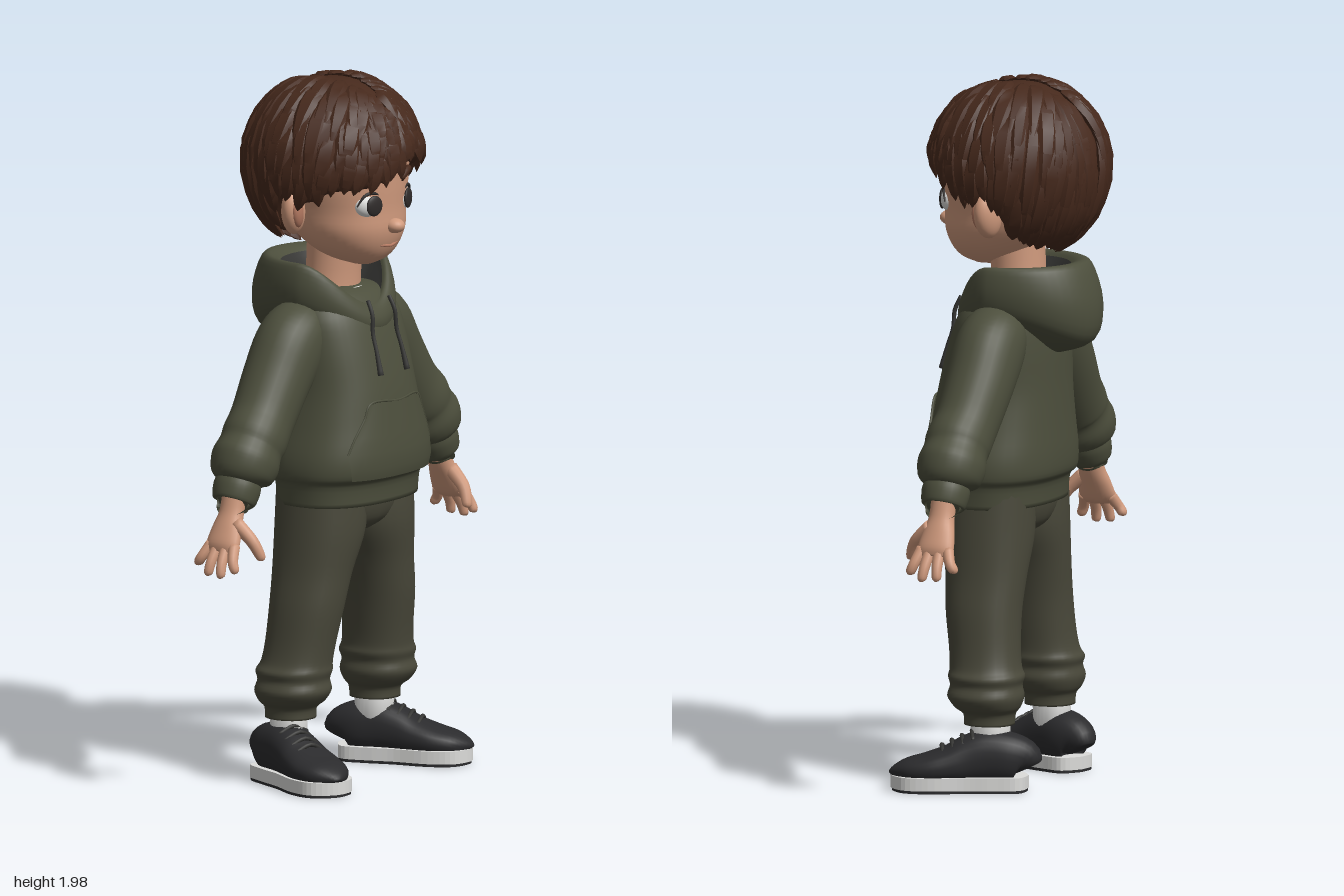
import * as THREE from 'three';
import { mergeGeometries, toCreasedNormals } from 'three/addons/utils/BufferGeometryUtils.js';

const V = (x, y, z) => new THREE.Vector3(x, y, z);
const mat = (name, color, side = THREE.FrontSide) => {
  const m = new THREE.MeshStandardMaterial({ color, side });
  m.name = name;
  return m;
};

// Rings of points joined into a closed-round surface
function skin(rings, capped = true) {
  const n = rings[0].length, pos = [], idx = [];
  rings.forEach(r => r.forEach(p => pos.push(p.x, p.y, p.z)));
  for (let i = 0; i < rings.length - 1; i++) for (let j = 0; j < n; j++) {
    const a = i * n + j, b = i * n + (j + 1) % n;
    idx.push(a, a + n, b, b, a + n, b + n);
  }
  if (capped) [0, rings.length - 1].forEach((k, end) => {
    const c = rings[k].reduce((s, p) => s.add(p), V(0, 0, 0)).divideScalar(n), ci = pos.length / 3;
    pos.push(c.x, c.y, c.z);
    for (let j = 0; j < n; j++) {
      const a = k * n + j, b = k * n + (j + 1) % n;
      if (end) idx.push(ci, b, a); else idx.push(ci, a, b);
    }
  });
  const g = new THREE.BufferGeometry();
  g.setAttribute('position', new THREE.Float32BufferAttribute(pos, 3));
  g.setIndex(idx);
  g.computeVertexNormals();
  return g;
}

// Catmull-Rom resampling of every column of a table
function smooth(rows, n = 4) {
  const out = [], at = i => rows[Math.max(0, Math.min(rows.length - 1, i))];
  for (let i = 0; i < rows.length - 1; i++) for (let k = 0; k < n; k++) {
    const t = k / n;
    out.push(rows[i].map((b, c) => {
      const a = at(i - 1)[c], d = at(i + 1)[c], e = at(i + 2)[c];
      return b + 0.5 * t * (d - a + t * (2 * a - 5 * b + 4 * d - e + t * (3 * (b - d) + e - a)));
    }));
  }
  out.push(rows[rows.length - 1]);
  return out;
}

// Rows [x, y, z, ra, rb] become rounded sections, level or square to the path
function loft(rows, { flat = false, p = 2, sides = 28, ref = () => V(0, 0, 1) } = {}) {
  const c = rows.map(r => V(r[0], r[1], r[2]));
  return skin(rows.map((r, i) => {
    const T = c[Math.min(i + 1, c.length - 1)].clone().sub(c[Math.max(i - 1, 0)]).normalize();
    const A = flat ? V(Math.sign(T.y), 0, 0) : T.clone().cross(ref(i)).normalize();
    const B = flat ? V(0, 0, 1) : A.clone().cross(T);
    const f = v => Math.sign(v) * Math.pow(Math.abs(v), 2 / p);
    return Array.from({ length: sides }, (_, j) => {
      const t = j / sides * Math.PI * 2;
      return c[i].clone().addScaledVector(A, f(Math.cos(t)) * r[3]).addScaledVector(B, f(Math.sin(t)) * r[4]);
    });
  }));
}
const rod = (pts, r, sides = 10) => loft(smooth(pts.map((q, i) => [...q, r[i] ?? r[0], r[i] ?? r[0]])), { sides });

// Front surface depth of a level loft
const frontZ = (rows, p) => (x, y) => {
  let i = 0;
  while (i < rows.length - 2 && rows[i + 1][1] < y) i++;
  const t = (y - rows[i][1]) / (rows[i + 1][1] - rows[i][1]);
  const [, , cz, rx, rz] = rows[i].map((v, k) => v + (rows[i + 1][k] - v) * t);
  return cz + rz * Math.pow(Math.max(0, 1 - Math.pow(Math.abs(x) / rx, p)), 1 / p);
};

export function createModel() {
  const root = new THREE.Group();
  const M = {
    hoodie: mat('olive hoodie', 0x4c4e3c, THREE.DoubleSide), pants: mat('olive trousers', 0x49483a),
    hair: mat('brown hair', 0x46291c, THREE.DoubleSide), skin: mat('skin', 0xd09a7d),
    lip: mat('rosy skin', 0xb57a62), shoe: mat('black shoe', 0x2b2b2d), white: mat('white', 0xdcdcda),
    dark: mat('dark lining', 0x353533, THREE.DoubleSide), iris: mat('dark eye', 0x2f2b2a),
  };
  const add = (name, geo, m, parent = root) => {
    const mesh = new THREE.Mesh(geo, m);
    mesh.name = name;
    parent.add(mesh);
    return mesh;
  };
  const ball = (name, pos, scale, m, parent = root) => {
    const b = add(name, new THREE.SphereGeometry(1, 24, 16), m, parent);
    b.position.set(...pos);
    b.scale.set(...scale);
    return b;
  };

  // Head and neck
  const headRows = smooth([[0, 1.455, .09, .025, .03], [0, 1.475, .075, .075, .085], [0, 1.51, .06, .122, .125],
    [0, 1.56, .04, .153, .16], [0, 1.62, .02, .165, .18], [0, 1.7, .005, .185, .198], [0, 1.8, 0, .19, .2],
    [0, 1.88, -.01, .15, .16], [0, 1.94, -.01, .06, .06]]);
  const faceZ = frontZ(headRows, 2.2);
  add('head', loft(headRows, { flat: true, p: 2.2, sides: 40 }), M.skin);
  add('neck', loft(smooth([[0, 1.3, -.02, .1, .09], [0, 1.4, -.01, .082, .076], [0, 1.54, 0, .08, .08]]), { flat: true }), M.skin);
  ball('nose', [0, 1.572, .203], [.027, .021, .03], M.skin);
  add('mouth', rod([-.04, -.015, 0, .015, .04].map((x, i) => [x, 1.516 + [.003, 0, -.002, 0, .003][i], faceZ(x, 1.516)]),
    [.002, .005, .004, .005, .002]), M.lip);
  for (const s of [1, -1]) {
    ball('ear', [s * .198, 1.62, -.003], [.046, .066, .032], M.skin).rotation.set(0, s * -.3, s * -.2);
    ball('innerEar', [s * .207, 1.62, .017], [.027, .045, .017], M.lip).rotation.set(0, s * -.3, s * -.2);
    const eye = new THREE.Group();
    eye.name = 'eye';
    eye.position.set(s * .078, 1.638, faceZ(.078, 1.638) - .02);
    eye.rotation.y = s * .3;
    root.add(eye);
    ball('eyeWhite', [0, 0, 0], [.044, .036, .03], M.white, eye);
    ball('iris', [-s * .006, 0, .026], [.027, .029, .008], M.iris, eye);
    add('upperLashes', rod([[-.044, 0, .012], [-.025, .028, .018], [0, .036, .02], [.025, .028, .018], [.044, 0, .012]],
      [.002, .004, .005, .004, .002]), M.iris, eye);
    add('eyebrow', rod([[.033, 1.7], [.075, 1.72], [.125, 1.712]].map(([x, y]) => [s * x, y, faceZ(x, y)]), [.009, .012, .004]), M.hair);
  }

  // Hair: an under-cap with overlapping tapered locks flowing from a central part
  let seed = 7;
  const rnd = () => (seed = (seed * 16807) % 2147483647) / 2147483647;
  const hem = [[0, .08, -.05], [.5, .02, -.2], [1, -.15, -.22], [1.35, -.4, -.4], [1.6, -.22, -.22], [1.95, -.75, -.75], [3.2, -.9, -.9]];
  const hairEnd = a => {
    const s = Math.atan2(Math.sin(a), Math.cos(a)), q = Math.abs(s), col = s > 0 ? 1 : 2;
    const i = Math.max(0, hem.findIndex(h => h[0] > q) - 1);
    const y = THREE.MathUtils.mapLinear(q, hem[i][0], hem[i + 1][0], hem[i][col], hem[i + 1][col]);
    const k = Math.sqrt(1 - y * y);
    return V(Math.sin(a) * k, y, Math.cos(a) * k);
  };
  const onHair = (d, lift) => V(d.x * .247 * lift, 1.74 + d.y * (d.y > 0 ? .243 : .265) * lift, d.z * .25 * lift - .01);
  const cap = [];
  for (let i = 0; i <= 16; i++) cap.push(Array.from({ length: 64 }, (_, j) =>
    onHair(V(0, 1, 0).lerp(hairEnd(j / 64 * Math.PI * 2), .01 + i / 16 * .97).normalize(), .95)));
  add('hairCap', skin(cap), M.hair);
  const locks = [];
  [[0, .48, 30], [.17, .62, 36], [.34, .78, 42], [.48, .92, 46], [.6, 1.02, 50]].forEach(([u0, u1, n], layer) => {
    for (let j = 0; j < n; j++) {
      const a = (j + layer * .5 + rnd() * .6) / n * Math.PI * 2, end = hairEnd(a);
      const start = V(.14 * Math.sign(Math.sin(a)) + .02, 1, .65 * Math.cos(a)).normalize();
      const w = .024 + rnd() * .01, du = rnd() * .06 - .03, bend = (rnd() - .5) * .16, dirs = [];
      const rows = [.25, .75, 1, 1, .8, .5, .04].map((k, i) => {
        const t = i / 6, d = start.clone().lerp(end, u0 + du + (u1 - u0) * t).normalize();
        d.applyAxisAngle(V(0, 1, 0), bend * t * t);
        dirs.push(d);
        const c = onHair(d, .965 + .05 * t + rnd() * .008);
        return [c.x, c.y, c.z, w * k, w * k * .5];
      });
      locks.push(loft(rows, { sides: 6, ref: i => dirs[i] }));
    }
  });
  add('hairLocks', toCreasedNormals(mergeGeometries(locks), .7), M.hair);

  // Hoodie body with ribbed hem
  const bodyRows = smooth([[0, .79, .04, .232, .155], [0, .85, .04, .237, .162], [0, .875, .042, .25, .185], [0, .93, .042, .248, .19],
    [0, 1.02, .038, .225, .182], [0, 1.12, .032, .205, .172], [0, 1.24, .018, .2, .155], [0, 1.32, .008, .19, .135],
    [0, 1.37, 0, .15, .105], [0, 1.39, -.01, .09, .07]]);
  const bodyZ = frontZ(bodyRows, 2.4);
  add('hoodieBody', loft(bodyRows, { flat: true, p: 2.4, sides: 48 }), M.hoodie);
  add('shirtCollar', loft([[0, 1.33, .0, .11, .105], [0, 1.375, .0, .098, .09], [0, 1.385, -.003, .085, .08]], { flat: true }), M.white);

  // Lowered hood: up the outside, over the rim and down into the dark lining
  const hoodRows = smooth([[.15, .12, -.12, 1.31, .04, .1], [.188, .155, -.23, 1.34, .07, .09], [.2, .16, -.25, 1.4, .1, .05],
    [.192, .145, -.215, 1.46, .13, 0], [.175, .125, -.17, 1.468, .125, 0], [.155, .105, -.13, 1.43, .1, 0], [.11, .08, -.1, 1.35, .03, 0]]);
  const hoodRings = hoodRows.map(([rx, zf, zb, y, df, db]) => Array.from({ length: 48 }, (_, j) => {
    const t = j / 48 * Math.PI * 2, s = Math.sin(t), f = Math.max(0, s), b = Math.max(0, -s);
    return V(rx * Math.cos(t) * (1 - .12 * f), y - df * f * f - db * b * b, s > 0 ? zf * s : -zb * s);
  }));
  add('hood', skin(hoodRings.slice(0, 19), false), M.hoodie);
  add('hoodLining', skin(hoodRings.slice(18), false), M.dark);

  // Front pocket, a raised panel on the belly, with a seam
  const pocketW = [[1.08, .112], [1.04, .135], [.99, .168], [.945, .192], [.9, .19], [.87, .182]];
  const panel = new THREE.PlaneGeometry(1, 1, 20, 5), pp = panel.attributes.position;
  for (let i = 0; i < pp.count; i++) {
    const [y, w] = pocketW[Math.floor(i / 21)], x = pp.getX(i) * 2 * w;
    pp.setXYZ(i, x, y, bodyZ(x, y) + .008);
  }
  panel.computeVertexNormals();
  add('pocket', panel, M.hoodie);
  const seam = pocketW.slice(0, 4).map(([y, w]) => [w, y]);
  const edge = [...seam.slice().reverse(), [0, 1.08], ...seam.map(([x, y]) => [-x, y])];
  add('pocketSeam', new THREE.TubeGeometry(new THREE.CatmullRomCurve3(edge.map(([x, y]) => V(x, y, bodyZ(x, y) + .006))), 60, .0035, 6), M.hoodie);

  for (const s of [1, -1]) {
    add('drawstring', rod([1.36, 1.32, 1.27, 1.22, 1.155].map((y, i) => [s * (.05 + i * .003), y, bodyZ(.055, y) + (i < 2 ? .035 - i * .01 : .008)]),
      [.006, .006, .006, .006, .009]), M.dark);

    // Sleeve, cuff and hand
    const arm = rows => smooth(rows.map(r => [r[0] * s, ...r.slice(1)]));
    add('sleeve', loft(arm([[.1, 1.325, -.01, .05, .06], [.155, 1.285, -.01, .09, .09], [.205, 1.235, -.01, .108, .098],
      [.27, 1.15, -.01, .1, .095], [.34, 1.055, -.005, .094, .09], [.385, 1.005, 0, .097, .092], [.405, .98, 0, .092, .09],
      [.43, .945, 0, .1, .096], [.453, .912, 0, .088, .088], [.463, .892, 0, .065, .066]])), M.hoodie);
    add('cuff', loft(arm([[.458, .9, 0, .062, .064], [.47, .875, 0, .066, .068], [.485, .842, 0, .06, .062], [.487, .838, 0, .045, .05]])), M.hoodie);
    add('palm', loft(arm([[.475, .87, 0, .034, .038], [.495, .81, 0, .03, .037], [.517, .765, 0, .028, .048],
      [.537, .725, 0, .025, .054], [.547, .705, 0, .015, .046]])), M.skin);
    [[.04, .567, .655, .066], [.014, .578, .64, .024], [-.014, .576, .643, -.022], [-.038, .56, .665, -.07]].forEach(([z, x, y, zt]) =>
      add('finger', rod([[s * .538, .725, z], [s * (x + .545) / 2 + s * .006, (y + .72) / 2, (z + zt) / 2], [s * x, y + .008, zt * .96], [s * x, y, zt]],
        [.017, .015, .013, .005]), M.skin));
    add('thumb', rod([[s * .51, .785, .025], [s * .503, .74, .075], [s * .49, .695, .097], [s * .487, .685, .1]], [.022, .018, .014, .005]), M.skin);

    // Trouser leg with bunched folds above the cuff
    add('trouserLeg', loft(arm([[.11, .86, .03, .115, .125], [.115, .72, .03, .12, .127], [.145, .6, .025, .1, .115], [.168, .5, .022, .094, .107],
      [.183, .4, .012, .091, .1], [.192, .345, .005, .094, .1], [.198, .32, 0, .103, .106], [.2, .295, 0, .096, .1], [.203, .265, 0, .104, .106],
      [.202, .235, -.005, .09, .092], [.2, .215, -.01, .07, .073], [.2, .185, -.01, .068, .07]]), { flat: true, p: 2.2 }), M.pants);

    // Shoe, turned outward
    const shoe = new THREE.Group();
    shoe.name = 'shoe';
    shoe.position.set(s * .22, 0, -.01);
    shoe.rotation.y = s * .38;
    root.add(shoe);
    add('sock', loft([[-s * .012, .1, -.01, .05, .055], [-s * .015, .21, -.01, .052, .056]], { flat: true }), M.white, shoe);
    const half = [[.06, -.095], [.071, -.02], [.073, .06], [.086, .16], [.068, .235]];
    const outline = k => new THREE.Shape(new THREE.SplineCurve([[0, -.118], ...half, [0, .268], ...half.slice().reverse().map(([x, z]) => [-x, z]), [0, -.118]]
      .map(([x, z]) => new THREE.Vector2(x * k, z * k))).getPoints(60));
    const slab = (name, k, depth, top, m) => add(name, new THREE.ExtrudeGeometry(outline(k), { depth, bevelEnabled: false })
      .rotateX(Math.PI / 2).translate(0, top, 0), m, shoe);
    slab('midsole', 1, .036, .044, M.white);
    slab('outsole', .985, .01, .01, M.shoe);
    // Upper: [z, half width, top height]
    const upper = smooth([[-.112, .03, .11], [-.1, .052, .145], [-.06, .065, .165], [0, .067, .172], [.05, .07, .155], [.1, .077, .128],
      [.16, .081, .106], [.215, .068, .09], [.25, .038, .07], [.26, .012, .055]]);
    add('shoeUpper', loft(upper.map(([z, w, h]) => [0, (h + .02) / 2, z, w, (h - .02) / 2]), { p: 2.3, ref: () => V(0, 1, 0) }), M.shoe, shoe);
    for (let i = 0; i < 4; i++) {
      const z = .035 + i * .028, y = .166 - i * .0135;
      add('lace', rod([[-.045, y - .018, z], [0, y + .003, z + .006], [.045, y - .018, z]], [.006], 8), M.dark, shoe);
    }
  }
  // Hips joining both legs
  add('hips', loft(smooth([[0, .7, .03, .06, .07], [0, .73, .03, .14, .11], [0, .78, .03, .222, .127], [0, .84, .03, .225, .13]]),
    { flat: true, p: 2.3 }), M.pants);
  return root;
}
